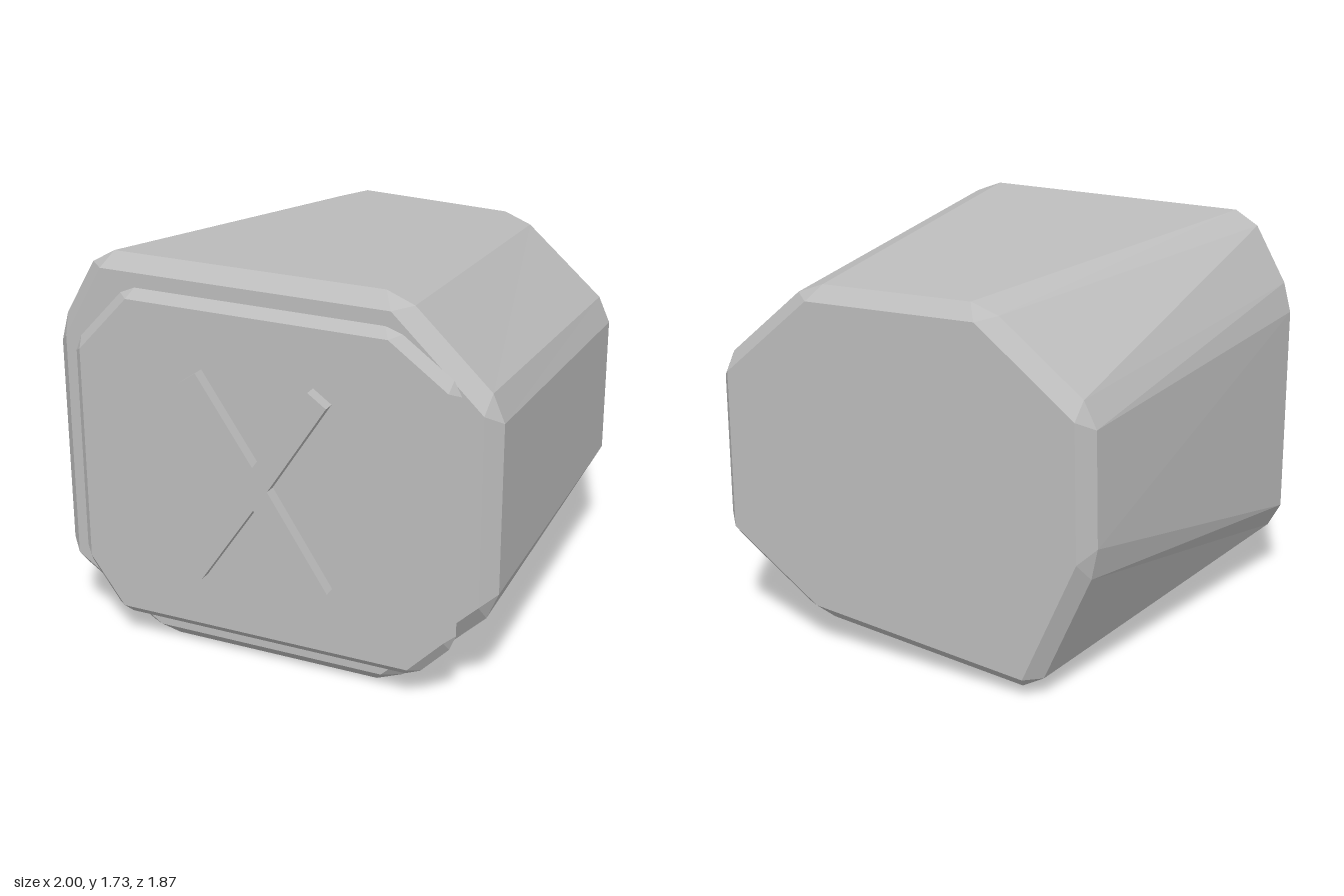
import * as THREE from 'three';

// Move every side of a counter-clockwise outline inward by t
function inset(pts, t) {
  const n = pts.length;
  return pts.map((p, i) => {
    const a = pts[(i + n - 1) % n], b = pts[(i + 1) % n];
    const u = p.clone().sub(a).normalize(), v = b.clone().sub(p).normalize();
    const k = t / (1 + u.dot(v));
    return new THREE.Vector2(p.x - (u.y + v.y) * k, p.y + (u.x + v.x) * k);
  });
}

// Split each corner into two points, d away from it (d = 0 just doubles it)
function chamfer(pts, d) {
  const n = pts.length;
  return pts.flatMap((p, i) => [pts[(i + n - 1) % n], pts[(i + 1) % n]].map(
    (q) => p.clone().add(q.clone().sub(p).setLength(d))));
}

// Bevelled block between a front and a back octagon
function bevelledBlock(front, back, zs, bevel, corner) {
  const layers = [
    chamfer(inset(front, bevel), 0), chamfer(front, corner),
    chamfer(back, corner), chamfer(inset(back, bevel), 0),
  ].map((l, i) => l.map((p) => new THREE.Vector3(p.x, p.y, zs[i])));
  const pos = [];
  const tri = (a, b, c) => {
    if (new THREE.Triangle(a, b, c).getArea() < 1e-7) return;
    for (const p of [a, b, c]) pos.push(p.x, p.y, p.z);
  };
  const n = layers[0].length;
  for (let k = 0; k < 3; k++) {
    const F = layers[k], B = layers[k + 1];
    for (let j = 0; j < n; j++) {
      const m = (j + 1) % n;
      tri(F[j], B[j], B[m]);
      tri(F[j], B[m], F[m]);
    }
  }
  for (let j = 1; j < n - 1; j++) {
    tri(layers[0][0], layers[0][j], layers[0][j + 1]);
    tri(layers[3][0], layers[3][j + 1], layers[3][j]);
  }
  const g = new THREE.BufferGeometry();
  g.setAttribute('position', new THREE.Float32BufferAttribute(pos, 3));
  g.computeVertexNormals();
  return g;
}

const outline = (list) => list.map(([x, y]) => new THREE.Vector2(x, y));

export function createModel() {
  const group = new THREE.Group();
  const grey = new THREE.MeshStandardMaterial({ color: 0xbcbcbc });
  grey.name = 'grey';
  grey.flatShading = true;
  const add = (name, geometry) => {
    const mesh = new THREE.Mesh(geometry, grey);
    mesh.name = name;
    group.add(mesh);
  };

  // Uneven stone body, smaller at the back
  const bodyFront = outline([[1, 0.45], [1, 1.33], [0.57, 1.735], [-0.79, 1.735],
    [-1, 1.37], [-1, 0.30], [-0.55, 0.005], [0.54, 0.005]]);
  const bodyBack = outline([[0.93, 0.45], [0.93, 1.215], [0.475, 1.61], [-0.365, 1.635],
    [-0.85, 1.27], [-0.865, 0.64], [-0.6, 0.03], [0.47, 0.14]]);
  add('body', bevelledBlock(bodyFront, bodyBack, [0.805, 0.74, -0.865, -0.93], 0.062, 0.07));

  // Bevelled plate on the front face
  const plate = outline([[0.86, 0.31], [0.86, 1.425], [0.58, 1.625], [-0.61, 1.625],
    [-0.865, 1.35], [-0.865, 0.365], [-0.69, 0.125], [0.68, 0.125]]);
  add('frontPlate', bevelledBlock(plate, plate, [0.882, 0.843, 0.843, 0.804], 0.04, 0.04));

  // Raised cross: the upper right quarter mirrored into the others
  const cy = 0.872, quarter = [[0.065, 0], [0.33, 0.407], [0.25, 0.463], [0, 0.095]];
  const cross = [
    ...quarter,
    ...quarter.slice(0, 3).reverse().map(([x, y]) => [-x, y]),
    ...quarter.slice(1).map(([x, y]) => [-x, -y]),
    ...quarter.slice(1, 3).reverse().map(([x, y]) => [x, -y]),
  ].map(([x, y]) => new THREE.Vector2(x, y + cy));
  const crossGeo = new THREE.ExtrudeGeometry(new THREE.Shape(cross), { depth: 0.065, bevelEnabled: false });
  crossGeo.translate(0, 0, 0.87);
  add('raisedCross', crossGeo);

  return group;
}
